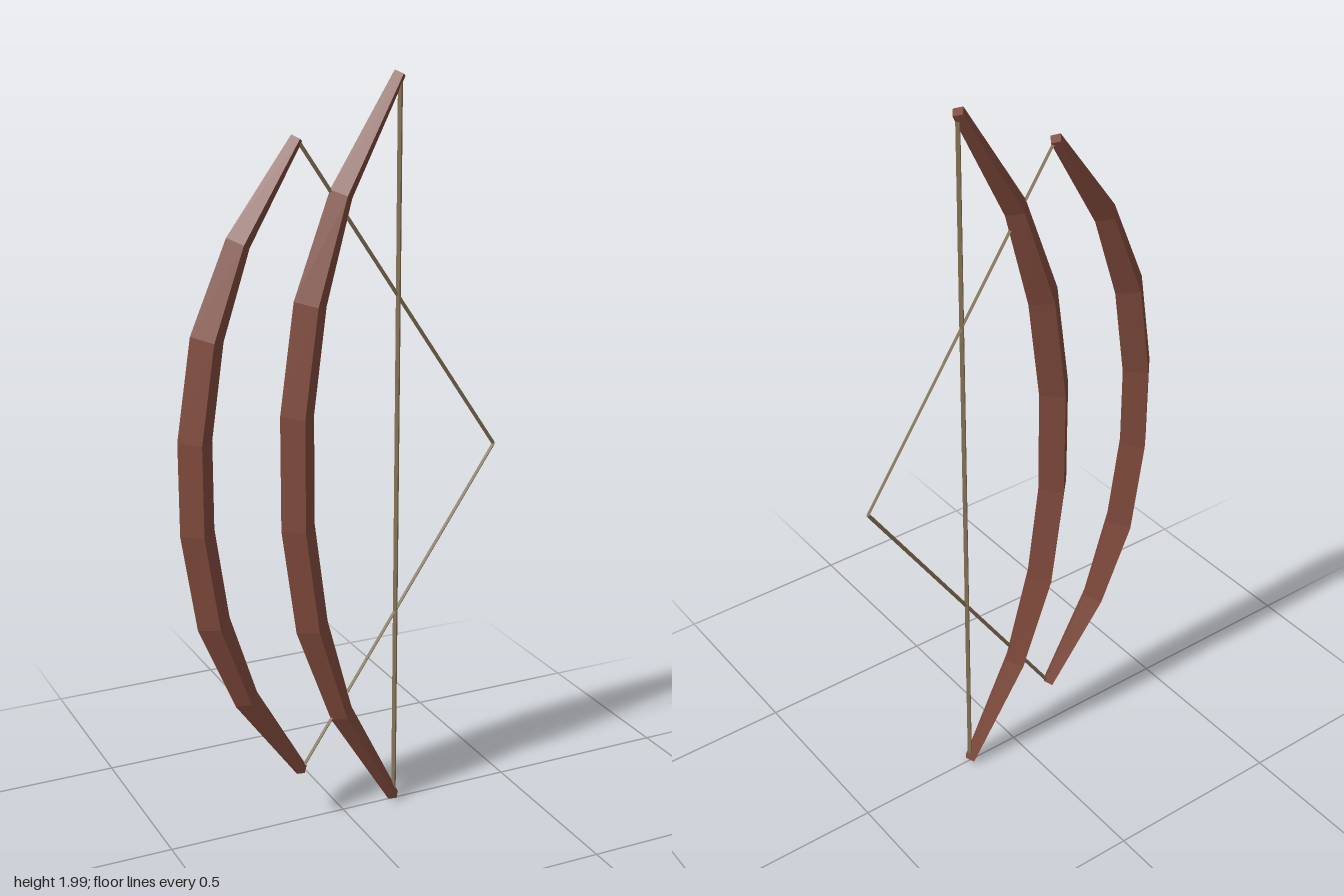
import * as THREE from 'three';

const wood = new THREE.MeshStandardMaterial({ color: 0x804a3c, flatShading: true });
wood.name = 'reddish wood';
const cord = new THREE.MeshStandardMaterial({ color: 0x8a7758, flatShading: true });
cord.name = 'tan cord';

// Tapered limb with a diamond cross-section, swept through [x, y, half width, half depth]
function limbGeometry(stations) {
  const rings = stations.map(([x, y, w, d], i) => {
    const dir = (a, b) => new THREE.Vector2(b[0] - a[0], b[1] - a[1]).normalize();
    const t = new THREE.Vector2();
    if (i > 0) t.add(dir(stations[i - 1], stations[i]));
    if (i < stations.length - 1) t.add(dir(stations[i], stations[i + 1]));
    t.normalize();
    const nx = t.y * w, ny = -t.x * w;
    return [[x + nx, y + ny, 0], [x, y, -d], [x - nx, y - ny, 0], [x, y, d]];
  });
  const pos = [];
  const quad = (a, b, c, d) => pos.push(...a, ...b, ...c, ...a, ...c, ...d);
  for (let i = 0; i < rings.length - 1; i++) {
    for (let k = 0; k < 4; k++) {
      const n = (k + 1) % 4;
      quad(rings[i][k], rings[i][n], rings[i + 1][n], rings[i + 1][k]);
    }
  }
  // end caps
  quad(...[...rings[0]].reverse());
  quad(...rings[rings.length - 1]);
  const geo = new THREE.BufferGeometry();
  geo.setAttribute('position', new THREE.Float32BufferAttribute(pos, 3));
  geo.computeVertexNormals();
  return geo;
}

// Thin four-sided cord between two points in the z = 0 plane
function cordMesh(a, b, radius) {
  const p = new THREE.Vector3(a[0], a[1], 0), q = new THREE.Vector3(b[0], b[1], 0);
  const dir = q.clone().sub(p);
  const mesh = new THREE.Mesh(new THREE.CylinderGeometry(radius, radius, dir.length(), 4), cord);
  mesh.position.copy(p).add(q).multiplyScalar(0.5);
  mesh.quaternion.setFromUnitVectors(new THREE.Vector3(0, 1, 0), dir.normalize());
  mesh.name = 'bowstring';
  return mesh;
}

// Bow from its upper half, mirrored about y = 1, plus its string points
function makeBow(name, upper, stringPoints, radius) {
  const group = new THREE.Group();
  group.name = name;
  const lower = upper.map(([x, y, w, d]) => [x, 2 - y, w, d]).reverse();
  const limb = new THREE.Mesh(limbGeometry([...lower, ...upper]), wood);
  limb.name = 'bowLimb';
  group.add(limb);
  for (let i = 0; i < stringPoints.length - 1; i++) {
    group.add(cordMesh(stringPoints[i], stringPoints[i + 1], radius));
  }
  return group;
}

export function createModel() {
  const model = new THREE.Group();
  model.name = 'bowPair';
  model.add(makeBow('restingBow', [
    [-0.128, 1.15, 0.047, 0.05],
    [-0.09, 1.435, 0.046, 0.05],
    [-0.005, 1.703, 0.033, 0.038],
    [0.154, 1.988, 0.017, 0.02],
  ], [[0.155, 0.02], [0.155, 1.98]], 0.007));
  model.add(makeBow('drawnBow', [
    [-0.404, 1.12, 0.046, 0.05],
    [-0.366, 1.375, 0.045, 0.05],
    [-0.28, 1.605, 0.034, 0.038],
    [-0.123, 1.847, 0.017, 0.02],
  ], [[-0.12, 0.16], [0.445, 1], [-0.12, 1.84]], 0.005));
  return model;
}
